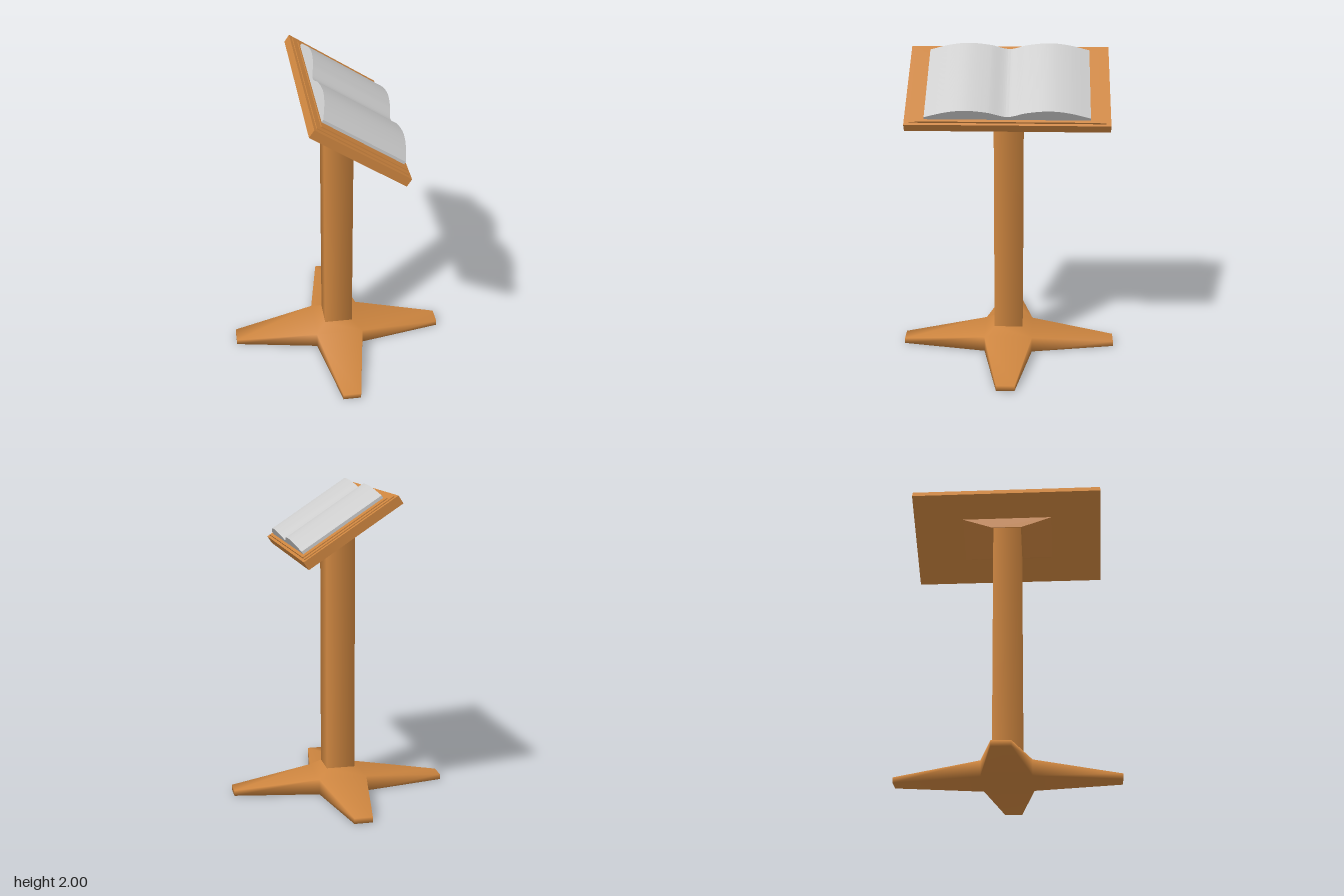
import * as THREE from 'three';
import { toCreasedNormals } from 'three/addons/utils/BufferGeometryUtils.js';

const wood = new THREE.MeshStandardMaterial({ color: 0xcd853f });
const paper = new THREE.MeshStandardMaterial({ color: 0xcccccc });

function add(parent, name, geometry, material = wood) {
  const mesh = new THREE.Mesh(geometry, material);
  mesh.name = name;
  parent.add(mesh);
  return mesh;
}

// Four-armed foot: a star-shaped slab rising to a square hub, smooth normals
function footGeometry() {
  const pos = [], idx = [];
  const quad = (a, b, c, d) => idx.push(a, b, c, a, c, d);
  const ring = { bottom: 0, top: 1 };
  for (let i = 0; i < 4; i++) {
    const a = i * Math.PI / 2, c = Math.cos(a), s = Math.sin(a);
    // along the arm (r), across it (w)
    const put = (r, w, y) => pos.push(r * c + w * s, y, w * c - r * s);
    put(0.695, 0.057, 0); put(0.695, 0.057, 0.035);
    put(0.695, -0.057, 0); put(0.695, -0.057, 0.035);
    put(0.156, -0.156, 0); put(0.156, -0.156, 0.1);
    put(0.092, -0.092, 0.15);
  }
  const centreTop = pos.length / 3;
  pos.push(0, 0.15, 0, 0, 0, 0);
  const id = (arm, k) => ((arm + 4) % 4) * 7 + k;
  for (let i = 0; i < 4; i++) {
    const tipA = id(i, 0), tipB = id(i, 2), next = id(i, 4), prev = id(i - 1, 4);
    const hubNext = id(i, 6), hubPrev = id(i - 1, 6);
    const { bottom: lo, top: hi } = ring;
    // side walls and arm end
    quad(prev + lo, tipA + lo, tipA + hi, prev + hi);
    quad(tipA + lo, tipB + lo, tipB + hi, tipA + hi);
    quad(tipB + lo, next + lo, next + hi, tipB + hi);
    // arm top, hub slope, hub cap, underside
    quad(prev + hi, tipA + hi, tipB + hi, next + hi);
    quad(hubPrev, prev + hi, next + hi, hubNext);
    idx.push(centreTop, hubPrev, hubNext);
    quad(prev, next, tipB, tipA);
    idx.push(centreTop + 1, next, prev);
  }
  const g = new THREE.BufferGeometry();
  g.setAttribute('position', new THREE.Float32BufferAttribute(pos, 3));
  g.setIndex(idx);
  g.computeVertexNormals();
  return g;
}

// Square post with softened normals, its top cut parallel to the desk
function postGeometry() {
  const g = new THREE.CylinderGeometry(0.13, 0.13, 1, 4, 1, true).rotateY(Math.PI / 4);
  const p = g.attributes.position;
  for (let i = 0; i < p.count; i++) {
    p.setY(i, p.getY(i) > 0 ? 1.7 - 0.66 * p.getX(i) : 0.14);
  }
  return g;
}

// Bracket under the desk: a box narrowed towards the post
function bracketGeometry() {
  const g = new THREE.BoxGeometry(2, 0.06, 2).translate(0, -0.084, 0);
  const p = g.attributes.position;
  for (let i = 0; i < p.count; i++) {
    const upper = p.getY(i) > -0.084;
    p.setX(i, p.getX(i) * (upper ? 0.153 : 0.116));
    p.setZ(i, p.getZ(i) * (upper ? 0.3 : 0.1));
  }
  g.computeVertexNormals();
  return g;
}

// Open pages: two humps with a valley at the spine, extruded down the slope
function pagesGeometry() {
  const half = [[0.5, 0.03], [0.37, 0.073], [0.25, 0.089], [0.12, 0.073]];
  const crest = [
    ...half, [0, 0.038],
    ...half.slice().reverse().map(([z, t]) => [-z, t]),
  ].map(([z, t]) => new THREE.Vector2(z, t));
  const shape = new THREE.Shape();
  shape.moveTo(-0.5, 0);
  shape.lineTo(0.5, 0);
  shape.lineTo(0.5, 0.03);
  shape.splineThru(crest.slice(1));
  shape.closePath();
  const g = new THREE.ExtrudeGeometry(shape, { depth: 0.575, bevelEnabled: false, curveSegments: 40 });
  g.rotateY(Math.PI / 2).translate(-0.275, 0, 0);
  return toCreasedNormals(g, 0.6);
}

export function createModel() {
  const model = new THREE.Group();
  model.name = 'bookStand';

  add(model, 'foot', footGeometry());
  add(model, 'post', postGeometry());

  // Tilted desk; its local y = 0 is the top of the board
  const desk = new THREE.Group();
  desk.name = 'desk';
  desk.position.set(0.0645, 1.772, 0);
  desk.rotation.z = -Math.atan2(0.37, 0.56);
  model.add(desk);

  add(desk, 'board', new THREE.BoxGeometry(0.67, 0.055, 1.245).translate(0, -0.0275, 0));
  add(desk, 'bracket', bracketGeometry());

  // Two thin stepped layers, flush at the lower end
  const layer = (name, start, thickness, width) =>
    add(desk, name, new THREE.BoxGeometry(0.318 - start, thickness, width)
      .translate((0.318 + start) / 2, thickness / 2, 0));
  layer('lowerLayer', -0.317, 0.006, 1.185);
  layer('bookCover', -0.284, 0.012, 1.112);

  add(desk, 'pages', pagesGeometry(), paper);
  return model;
}
